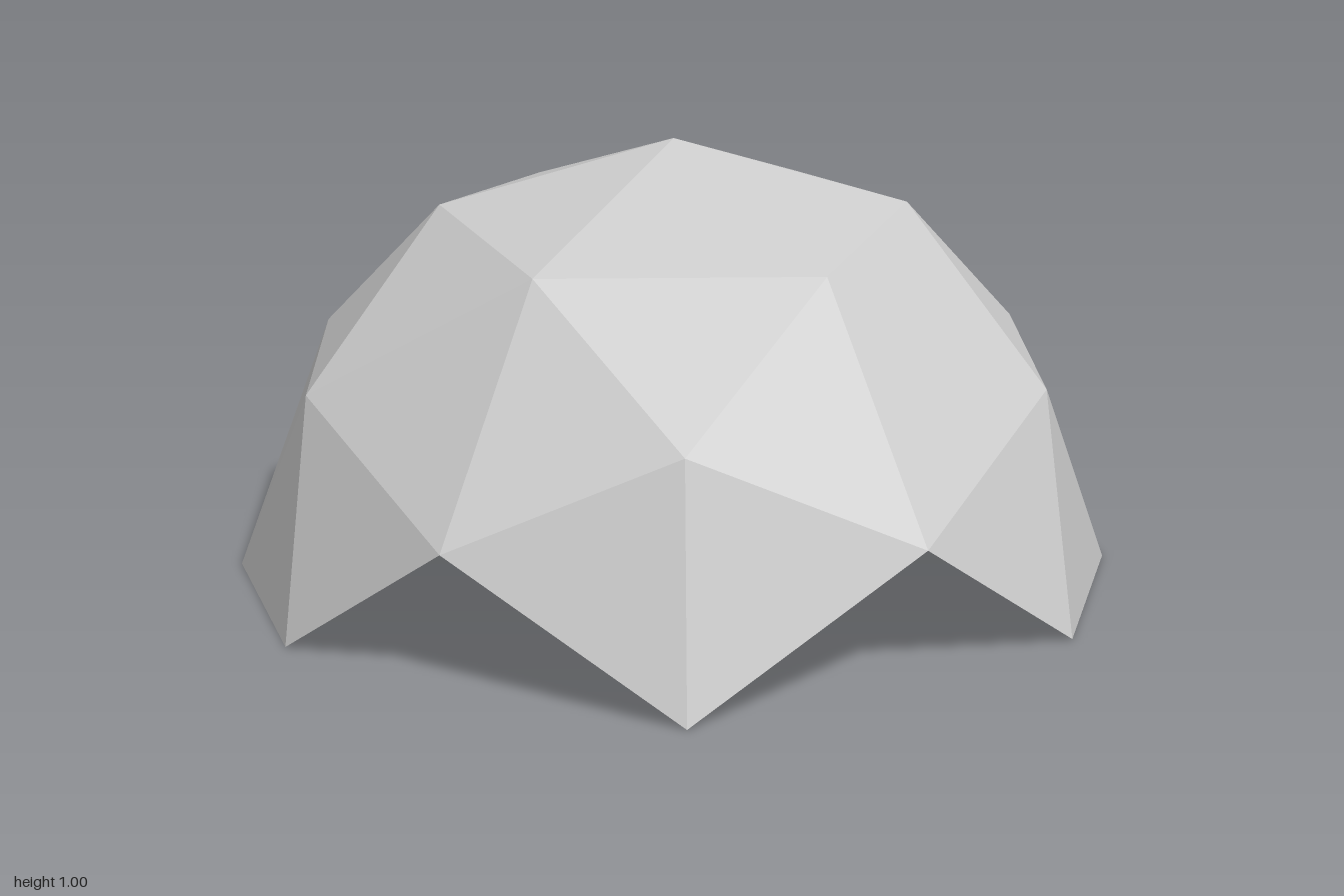
import * as THREE from 'three';

// Keeps only the triangles whose centre lies above the ground plane
function upperHalf(source) {
  const p = source.getAttribute('position');
  const kept = [];
  for (let i = 0; i < p.count; i += 3) {
    if ((p.getY(i) + p.getY(i + 1) + p.getY(i + 2)) / 3 < 0.05) continue;
    for (let k = i; k < i + 3; k++) kept.push(p.getX(k), Math.max(0, p.getY(k)), p.getZ(k));
  }
  const geometry = new THREE.BufferGeometry();
  geometry.setAttribute('position', new THREE.Float32BufferAttribute(kept, 3));
  geometry.computeVertexNormals();
  return geometry;
}

export function createModel() {
  const model = new THREE.Group();
  model.name = 'geodesicDome';

  const grey = new THREE.MeshStandardMaterial({ color: 0xcccccc, side: THREE.DoubleSide, flatShading: true });
  grey.name = 'light grey';

  // Faceted shell; the omitted ground-straddling triangles leave four doorways
  const sphere = new THREE.IcosahedronGeometry(1, 1);
  sphere.rotateY(Math.atan2(1, (1 + Math.sqrt(5)) / 2));
  const shell = new THREE.Mesh(upperHalf(sphere), grey);
  shell.name = 'domeShell';
  model.add(shell);

  // Small tilted floor plate, outline in x and z
  const outline = [
    [-0.06, 0.125], [-0.015, 0.09], [0.055, 0.125], [0.085, 0.05], [0.04, -0.04],
    [0.075, -0.125], [0.025, -0.09], [-0.045, -0.125], [-0.07, -0.05], [-0.03, 0.04],
  ];
  const shape = new THREE.Shape(outline.map(([x, z]) => new THREE.Vector2(x, -z)));
  const plateGeometry = new THREE.ShapeGeometry(shape);
  plateGeometry.rotateX(-Math.PI / 2 - 0.19);
  const plate = new THREE.Mesh(plateGeometry, grey);
  plate.name = 'floorPlate';
  plate.position.y = 0.027;
  model.add(plate);

  return model;
}
